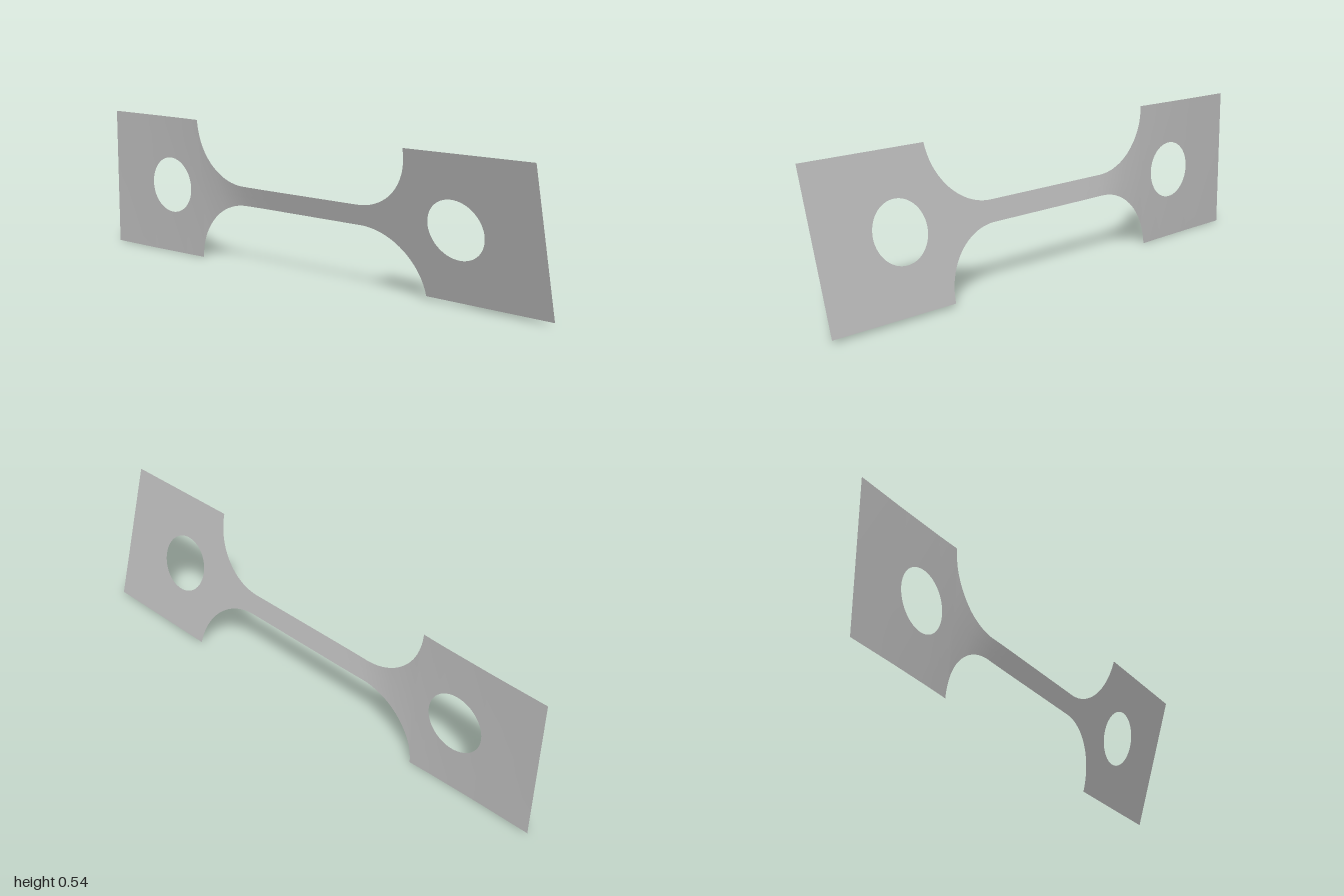
import * as THREE from 'three';
import { mergeVertices } from 'three/addons/utils/BufferGeometryUtils.js';

const MID_Y = 0.271, HALF_H = 0.271, NECK_H = 0.039;
const FILLET = 0.236, FILLET_X = 0.274, HOLE_X = 0.672, HOLE_R = 0.109;
const ROWS = 5;

// Half height of the sheet at x: grip, round fillet, then narrow neck
function outer(x) {
  const a = Math.abs(x) - FILLET_X;
  if (a <= 0) return NECK_H;
  if (a >= FILLET) return HALF_H;
  return NECK_H + FILLET - Math.sqrt(FILLET * FILLET - a * a);
}

// Half height of the bolt hole at x
function inner(x) {
  const d = Math.abs(x) - HOLE_X;
  return Math.sqrt(Math.max(0, HOLE_R * HOLE_R - d * d));
}

// Twist angle in degrees along the sheet: most of it happens in one fillet
const TWIST = [[-1, 0], [-0.8, 0.6], [-0.6, 1.9], [-0.5, 3], [-0.4, 6], [-0.32, 11], [-0.25, 14.8], [-0.15, 16], [1, 16]];
function twist(x) {
  let i = 0;
  while (i < TWIST.length - 2 && x > TWIST[i + 1][0]) i++;
  const [x0, a0] = TWIST[i], [x1, a1] = TWIST[i + 1];
  return THREE.MathUtils.degToRad(a0 + (a1 - a0) * (x - x0) / (x1 - x0));
}

// Column positions, packed closely where the fillets and holes turn steep
function columns() {
  const half = [];
  for (let i = 1; i <= 8; i++) half.push(FILLET_X * i / 8);
  for (let i = 1; i <= 24; i++) half.push(FILLET_X + FILLET * Math.sin(i / 24 * Math.PI / 2));
  for (let i = 1; i < 4; i++) half.push(0.51 + (HOLE_X - HOLE_R - 0.51) * i / 4);
  for (let i = 0; i <= 32; i++) half.push(HOLE_X - HOLE_R * Math.cos(i / 32 * Math.PI));
  for (let i = 1; i <= 6; i++) half.push(HOLE_X + HOLE_R + (1 - HOLE_X - HOLE_R) * i / 6);
  return [...half.map(x => -x).reverse(), 0, ...half];
}

// Upper and lower strips of the sheet, joined along the centre line
function sheetGeometry() {
  const xs = columns(), pos = [], index = [];
  for (const side of [1, -1]) {
    const base = pos.length / 3;
    xs.forEach((x, c) => {
      const a = twist(x), lo = inner(x), hi = outer(x);
      for (let r = 0; r <= ROWS; r++) {
        const v = side * (lo + (hi - lo) * r / ROWS);
        pos.push(x, MID_Y + v * Math.cos(a), v * Math.sin(a));
      }
      if (c === 0) return;
      for (let r = 0; r < ROWS; r++) {
        const p = base + (c - 1) * (ROWS + 1) + r, q = p + ROWS + 1;
        if (side > 0) index.push(p, q, q + 1, p, q + 1, p + 1);
        else index.push(p, q + 1, q, p, p + 1, q + 1);
      }
    });
  }
  const g = new THREE.BufferGeometry();
  g.setAttribute('position', new THREE.Float32BufferAttribute(pos, 3));
  g.setIndex(index);
  const merged = mergeVertices(g, 1e-5);
  merged.computeVertexNormals();
  return merged;
}

export function createModel() {
  const group = new THREE.Group();
  group.name = 'twistedTestStrip';
  const metal = new THREE.MeshStandardMaterial({ color: 0xb8b8b8, side: THREE.DoubleSide });
  metal.name = 'plain grey';
  const sheet = new THREE.Mesh(sheetGeometry(), metal);
  sheet.name = 'twistedSheet';
  group.add(sheet);
  return group;
}
